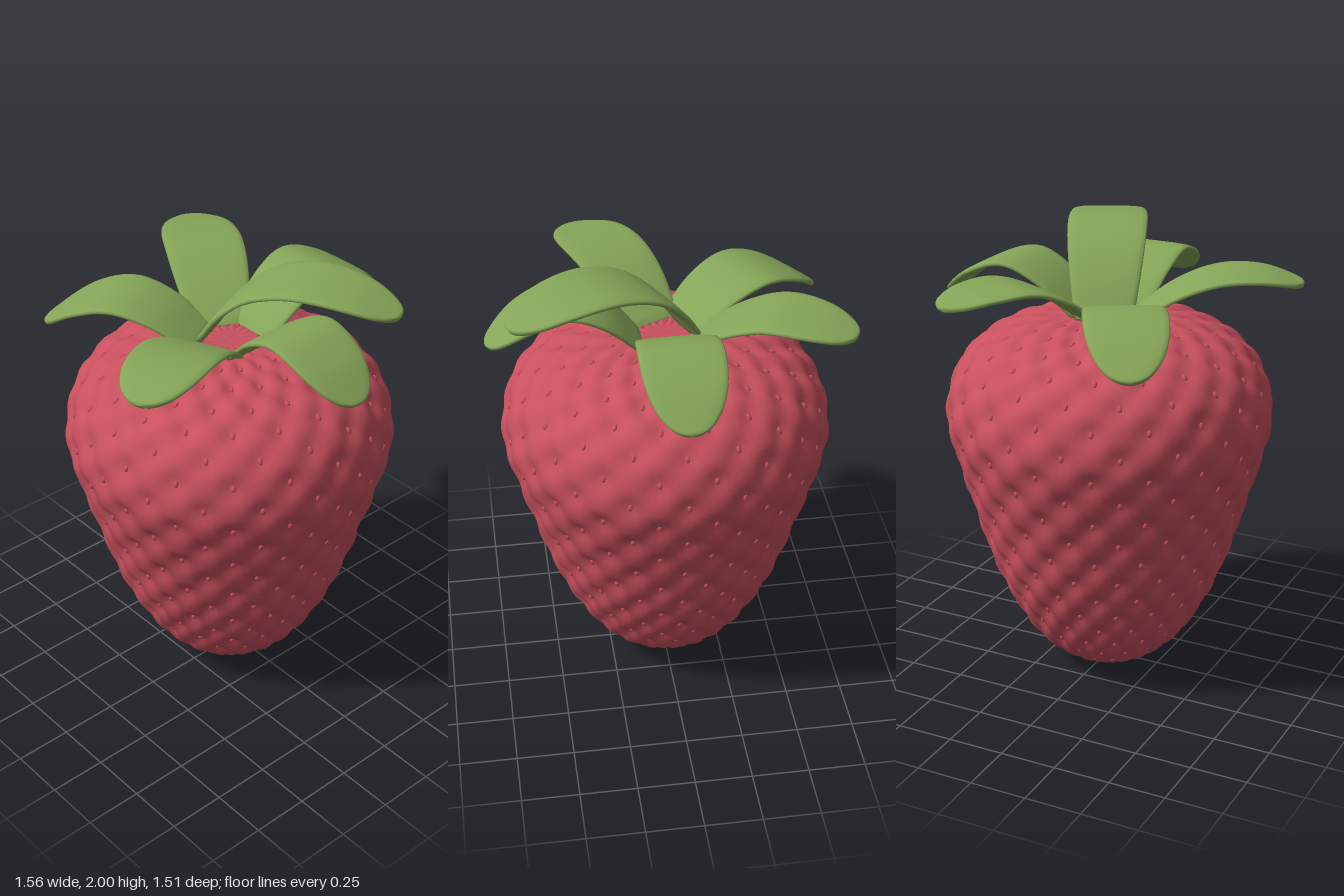
import * as THREE from 'three';
import { mergeGeometries, mergeVertices } from 'three/addons/utils/BufferGeometryUtils.js';

const red = new THREE.MeshStandardMaterial({ color: 0xc8505e });
red.name = 'berry red';
const green = new THREE.MeshStandardMaterial({ color: 0x86a558 });
green.name = 'leaf green';

const COLUMNS = 18, ROWS = 23;

// Fruit outline from the bottom tip to the crown: radius, height
const outline = new THREE.SplineCurve([
  [0, 0.01], [0.13, 0.035], [0.25, 0.1], [0.36, 0.21], [0.455, 0.37], [0.54, 0.57],
  [0.61, 0.8], [0.675, 1.02], [0.717, 1.22], [0.68, 1.4], [0.6, 1.51], [0.49, 1.585],
  [0.33, 1.64], [0.15, 1.655], [0, 1.65],
].map(([r, y]) => new THREE.Vector2(r, y)));
outline.arcLengthDivisions = 600;

const rowAt = (t) => ROWS * Math.pow(t, 0.9);
const dimpleDepth = (r) => 0.026 * Math.min(1, r / 0.4);

// Point and outward normal of the outline at t
function outlineFrame(t) {
  const p = outline.getPointAt(t), d = outline.getTangentAt(t);
  return { r: Math.max(0, p.x), y: p.y, nr: d.y, ny: -d.x };
}

// Lathe pressed in on a staggered grid of dimples
function fruitGeometry() {
  const steps = 138, sides = 144;
  const frames = Array.from({ length: steps + 1 }, (_, j) => outlineFrame(j / steps));
  const geo = new THREE.LatheGeometry(frames.map((f) => new THREE.Vector2(f.r, f.y)), sides);
  const pos = geo.attributes.position;
  for (let i = 0; i <= sides; i++) {
    const a = ((i % sides) / sides) * Math.PI * 2;
    for (let j = 0; j <= steps; j++) {
      const f = frames[j];
      const wave = 0.5 + 0.5 * Math.cos(COLUMNS * a) * Math.cos(Math.PI * rowAt(j / steps));
      const d = -dimpleDepth(f.r) * Math.pow(wave, 1.6);
      const r = Math.max(0, f.r + d * f.nr);
      pos.setXYZ(i * (steps + 1) + j, r * Math.sin(a), f.y + d * f.ny, r * Math.cos(a));
    }
  }
  geo.deleteAttribute('uv');
  geo.deleteAttribute('normal');
  const welded = mergeVertices(geo, 1e-5);
  welded.computeVertexNormals();
  return welded;
}

// One small pip at the bottom of each dimple
function seedGeometry() {
  const pip = new THREE.SphereGeometry(1, 7, 5);
  const holder = new THREE.Object3D();
  const parts = [];
  for (let row = 1; row < ROWS; row++) {
    const f = outlineFrame(Math.pow(row / ROWS, 1 / 0.9));
    if (f.r < 0.1) continue;
    const d = -dimpleDepth(f.r) + 0.002;
    const size = 0.7 + 0.3 * Math.min(1, f.r / 0.5);
    for (let c = 0; c < COLUMNS; c++) {
      const a = ((c + (row % 2) / 2) / COLUMNS) * Math.PI * 2;
      const out = new THREE.Vector3(f.nr * Math.sin(a), f.ny, f.nr * Math.cos(a));
      holder.position.set(f.r * Math.sin(a), f.y, f.r * Math.cos(a)).addScaledVector(out, d);
      holder.lookAt(holder.position.clone().add(out));
      holder.scale.set(0.011, 0.016, 0.009).multiplyScalar(size);
      holder.updateMatrix();
      parts.push(pip.clone().applyMatrix4(holder.matrix));
    }
  }
  return mergeGeometries(parts);
}

// Half width of a leaf along its length: strap-like with a round tip
function leafHalfWidth(s) {
  const w = 0.125 + 0.05 * Math.sin(Math.min(1, s / 0.55) * Math.PI / 2);
  const x = Math.max(0, (s - 0.55) / 0.45);
  return w * Math.sqrt(Math.max(0, 1 - Math.pow(x, 2.4)));
}

// Thick arched leaf: rounded cross-sections swept from base to tip
function leafGeometry([bx, bz], [tx, tz], heights) {
  const path = new THREE.CatmullRomCurve3(heights.map(([k, y]) =>
    new THREE.Vector3(bx + (tx - bx) * k, y, bz + (tz - bz) * k)));
  const side = new THREE.Vector3(tx - bx, 0, tz - bz).cross(new THREE.Vector3(0, 1, 0)).normalize();
  const rings = 32, around = 20, verts = [], index = [];
  const soft = (v, e) => Math.sign(v) * Math.pow(Math.abs(v), e);
  for (let i = 0; i <= rings; i++) {
    // the first two rings close the base
    const s = i < 2 ? 0 : 1 - Math.pow(1 - (i - 1) / (rings - 1), 1.6);
    const p = path.getPointAt(s);
    const normal = side.clone().cross(path.getTangentAt(s));
    const w = i === 0 ? 0 : leafHalfWidth(s);
    const h = i === 0 ? 0 : 0.015 * Math.min(1, Math.sqrt(w / 0.05));
    for (let j = 0; j < around; j++) {
      const a = (j / around) * Math.PI * 2;
      const v = p.clone().addScaledVector(side, w * soft(Math.cos(a), 0.7))
        .addScaledVector(normal, h * soft(Math.sin(a), 0.5));
      verts.push(v.x, v.y, v.z);
    }
  }
  for (let i = 0; i < rings; i++) {
    for (let j = 0; j < around; j++) {
      const k = (j + 1) % around;
      const a = i * around + j, b = i * around + k, c = a + around, d = b + around;
      index.push(a, c, b, b, c, d);
    }
  }
  const geo = new THREE.BufferGeometry();
  geo.setAttribute('position', new THREE.Float32BufferAttribute(verts, 3));
  geo.setIndex(index);
  geo.computeVertexNormals();
  return geo;
}

export function createModel() {
  const model = new THREE.Group();
  model.name = 'strawberry';
  const add = (parent, name, geo, mat) => {
    const mesh = new THREE.Mesh(geo, mat);
    mesh.name = name;
    parent.add(mesh);
  };

  const fruit = new THREE.Group();
  fruit.name = 'fruit';
  fruit.position.set(-0.015, -0.008, -0.015);
  add(fruit, 'flesh', fruitGeometry(), red);
  add(fruit, 'seeds', seedGeometry(), red);
  model.add(fruit);

  // Leaves: base x z, tip x z, then height along the way
  const crown = new THREE.Group();
  crown.name = 'leafCrown';
  const leaves = {
    leftLeaf: [[0.1, -0.01], [0.775, -0.01], [[0, 1.64], [0.25, 1.79], [0.48, 1.85], [0.75, 1.79], [1, 1.66]]],
    rightLeaf: [[-0.12, 0.02], [-0.77, 0.32], [[0, 1.64], [0.25, 1.76], [0.5, 1.825], [0.75, 1.83], [1, 1.79]]],
    backLeftLeaf: [[0.03, -0.12], [0.385, -0.745], [[0, 1.64], [0.25, 1.77], [0.5, 1.845], [0.75, 1.845], [1, 1.81]]],
    backRightLeaf: [[-0.1, -0.09], [-0.45, -0.715], [[0, 1.64], [0.25, 1.75], [0.5, 1.79], [0.75, 1.735], [1, 1.61]]],
    frontLeaf: [[-0.01, 0.1], [0, 0.745], [[0, 1.64], [0.25, 1.79], [0.48, 1.85], [0.75, 1.79], [1, 1.67]]],
    topLeaf: [[-0.04, -0.12], [0.31, 0.66], [[0, 1.65], [0.12, 1.8], [0.28, 1.92], [0.5, 1.982], [0.75, 1.975], [1, 1.915]]],
  };
  for (const [name, spec] of Object.entries(leaves)) add(crown, name, leafGeometry(...spec), green);
  model.add(crown);
  return model;
}
